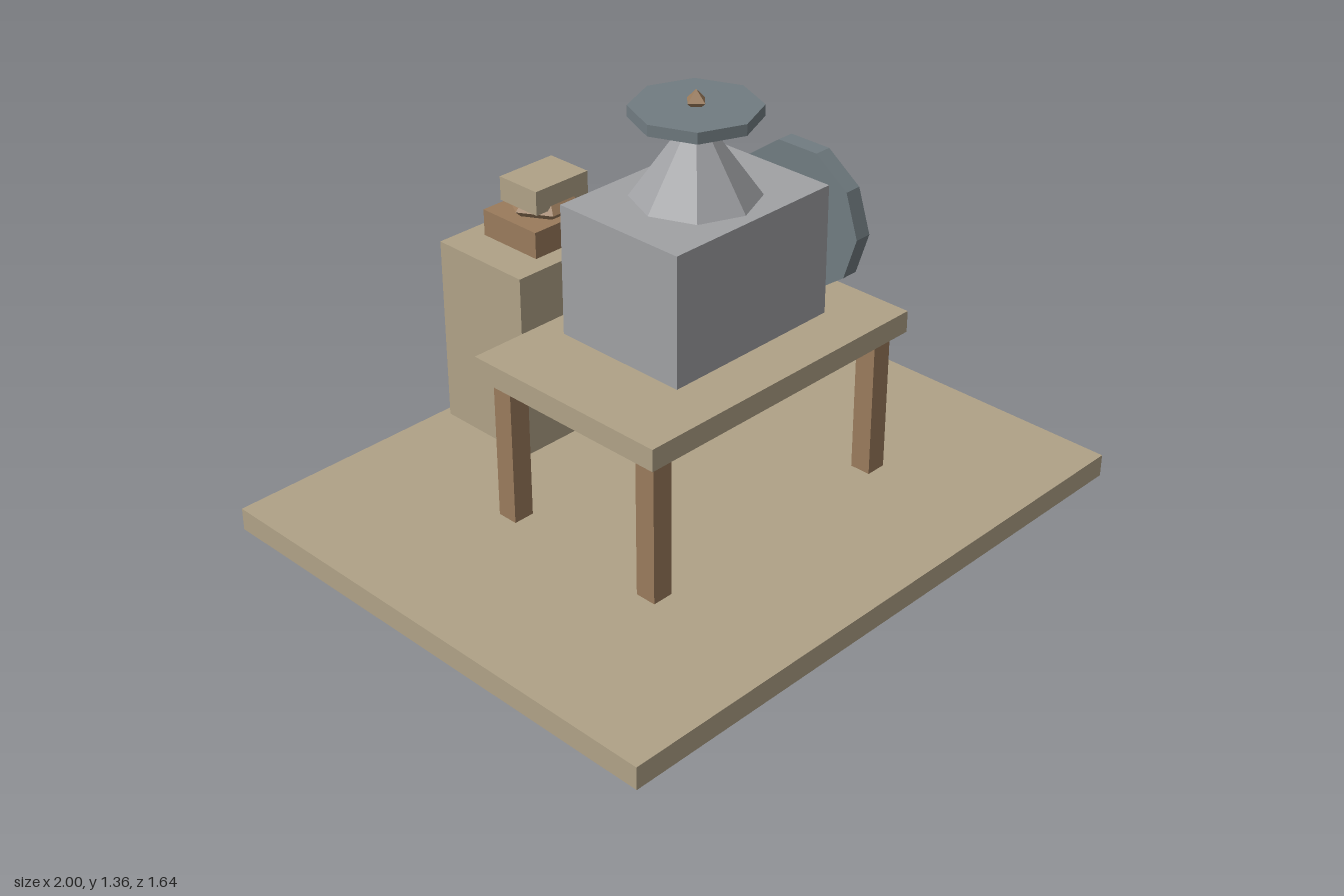
import * as THREE from 'three';

const flat = (name, color) => {
  const m = new THREE.MeshStandardMaterial({ color, flatShading: true });
  m.name = name;
  return m;
};

export function createModel() {
  const tan = flat('tan board', 0xb0a287);
  const brown = flat('brown wood', 0x9a7b5c);
  const grey = flat('light metal', 0xa0a1a4);
  const steel = flat('dark steel', 0x717c81);

  const model = new THREE.Group();
  model.name = 'workbenchMachine';

  const add = (name, geometry, material, x, y, z) => {
    const mesh = new THREE.Mesh(geometry, material);
    mesh.name = name;
    mesh.position.set(x, y, z);
    model.add(mesh);
    return mesh;
  };
  // Box given by its lower and upper limits on each axis
  const box = (name, material, [x0, x1], [y0, y1], [z0, z1]) =>
    add(name, new THREE.BoxGeometry(x1 - x0, y1 - y0, z1 - z0), material,
      (x0 + x1) / 2, (y0 + y1) / 2, (z0 + z1) / 2);

  // Ground board and table
  box('baseBoard', tan, [-1, 1], [0, 0.072], [-0.82, 0.82]);
  box('tableTop', tan, [-0.527, 0.527], [0.533, 0.602], [-0.292, 0.41]);
  for (const x of [-0.457, 0.457]) {
    for (const z of [-0.224, 0.343]) {
      box('tableLeg', brown, [x - 0.034, x + 0.034], [0.07, 0.535], [z - 0.034, z + 0.034]);
    }
  }

  // Machine housing with its cone, top wheel and knob
  const cz = 0.059;
  box('housing', grey, [-0.304, 0.304], [0.636, 1.04], [cz - 0.223, cz + 0.223]);
  add('cone', new THREE.ConeGeometry(0.188, 0.264, 8), grey, 0, 1.172, cz);
  add('topWheel', new THREE.CylinderGeometry(0.188, 0.188, 0.034, 8), steel, 0, 1.293, cz);
  add('topKnob', new THREE.OctahedronGeometry(0.034), brown, 0, 1.322, cz);

  // Side wheel and its handle, both on a sideways axis
  const wheel = new THREE.CylinderGeometry(0.234, 0.234, 0.056, 10).rotateZ(-Math.PI / 2);
  add('sideWheel', wheel, steel, 0.451, 0.827, cz);
  const handle = new THREE.CylinderGeometry(0.06, 0.06, 0.208, 6).rotateZ(-Math.PI / 2);
  add('sideHandle', handle, brown, 0.506, 0.827, cz);

  // Duct to the rear cabinet
  box('duct', grey, [-0.094, 0.094], [0.597, 0.637], [-0.392, -0.25]);

  // Rear cabinet with its stacked cap
  const bz = -0.566;
  box('cabinet', tan, [-0.264, 0.264], [0.11, 0.71], [bz - 0.176, bz + 0.176]);
  box('cabinetPlinth', brown, [-0.143, 0.143], [0.71, 0.795], [bz - 0.114, bz + 0.114]);
  const ring = new THREE.TorusGeometry(0.092, 0.024, 4, 6).rotateX(Math.PI / 2);
  add('capRing', ring, brown, 0, 0.814, bz);
  box('cap', tan, [-0.104, 0.104], [0.825, 0.902], [bz - 0.079, bz + 0.079]);

  return model;
}
